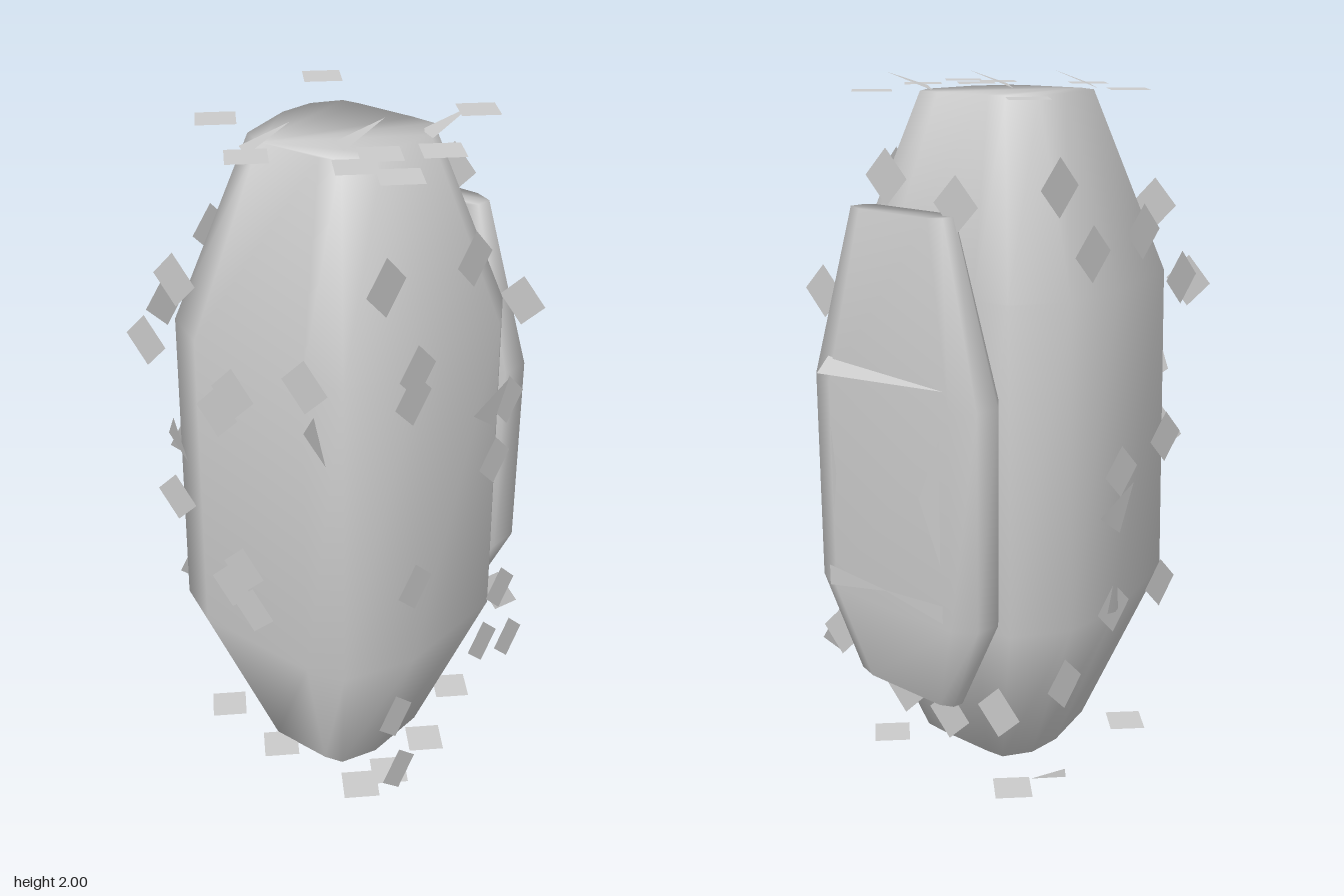
import * as THREE from 'three';

const grey = new THREE.MeshStandardMaterial({ color: 0xcccccc });
const thin = new THREE.MeshStandardMaterial({ color: 0xcccccc, side: THREE.DoubleSide });

// Smooth closed skin over rings of equal length; ring = { y, pts: [[x, z], ...] }
function loft(name, rings) {
  const n = rings[0].pts.length, pos = [], idx = [];
  rings.forEach(r => r.pts.forEach(([x, z]) => pos.push(x, r.y, z)));
  for (let k = 0; k < rings.length - 1; k++) {
    for (let i = 0; i < n; i++) {
      const a = k * n + i, b = k * n + (i + 1) % n;
      idx.push(a, b, b + n, a, b + n, a + n);
    }
  }
  // Flat caps
  const top = (rings.length - 1) * n;
  for (let i = 1; i < n - 1; i++) idx.push(0, i + 1, i, top, top + i, top + i + 1);
  const g = new THREE.BufferGeometry();
  g.setAttribute('position', new THREE.Float32BufferAttribute(pos, 3));
  g.setIndex(idx);
  g.computeVertexNormals();
  const mesh = new THREE.Mesh(g, grey);
  mesh.name = name;
  return mesh;
}

// Scale a section about a centre
const scaled = (pts, cx, cz, sx, sz) => pts.map(([x, z]) => [cx + (x - cx) * sx, cz + (z - cz) * sz]);

function triangle(points) {
  const g = new THREE.BufferGeometry();
  g.setAttribute('position', new THREE.Float32BufferAttribute(points.flat(), 3));
  g.computeVertexNormals();
  return g;
}

const diamond = new THREE.CircleGeometry(0.074, 4);
const shard = triangle([[-0.07, -0.02, -0.01], [0.01, -0.08, 0], [0.01, 0.08, 0.042]]);

// Loose cards floating on one flat side of the body, local +z pointing outwards
function cardSide(name, position, rotation, diamonds, shards) {
  const group = new THREE.Group();
  group.name = name;
  group.position.set(...position);
  group.rotation.set(...rotation);
  const add = (geo, label) => ([u, v]) => {
    const m = new THREE.Mesh(geo, thin);
    m.name = label;
    m.position.set(u, v, 0);
    group.add(m);
  };
  diamonds.forEach(add(diamond, 'diamondCard'));
  shards.forEach(add(shard, 'shardCard'));
  return group;
}

export function createModel() {
  const model = new THREE.Group();
  const H = Math.PI / 2;

  // Body: rounded square section, tapered towards flat ends
  const section = [
    [-0.2, 0.435], [0.17, 0.42], [0.28, 0.39], [0.375, 0.2], [0.385, -0.15], [0.29, -0.3],
    [0.15, -0.31], [-0.2, -0.31], [-0.31, -0.3], [-0.41, -0.16], [-0.425, 0.03], [-0.34, 0.37],
  ];
  model.add(loft('body', [
    { y: 0.04, pts: scaled(section, 0.015, 0.06, 0.5, 0.55) },
    { y: 0.54, pts: section },
    { y: 1.45, pts: scaled(section, 0.1, 0, 0.96, 0.98) },
    { y: 1.95, pts: scaled(section, -0.01, 0.03, 0.5, 0.53) },
  ]));

  // Pack on the back
  const pack = new THREE.Group();
  pack.name = 'backPack';
  const packSection = [
    [-0.27, -0.3], [0.24, -0.3], [0.285, -0.33], [0.29, -0.42], [0.19, -0.465],
    [-0.25, -0.47], [-0.31, -0.43], [-0.32, -0.36],
  ];
  pack.add(loft('packShell', [
    { y: 0.33, pts: scaled(packSection, -0.015, -0.375, 0.6, 0.42) },
    { y: 0.6, pts: packSection },
    { y: 1.2, pts: packSection },
    { y: 1.67, pts: scaled(packSection, -0.015, -0.375, 0.55, 0.53) },
  ]));

  // Thin folds framing the pocket
  const folds = {
    pocketTopFold: [[-0.23, 1.25, -0.465], [0.2, 1.23, -0.498], [0.2, 1.27, -0.455]],
    pocketLowerFoldRight: [[-0.23, 0.67, -0.478], [-0.23, 0.62, -0.478], [0, 0.65, -0.47]],
    pocketLowerFoldLeft: [[0.2, 0.67, -0.478], [0.2, 0.61, -0.478], [-0.02, 0.65, -0.47]],
    pocketRightFold: [[-0.22, 1.12, -0.474], [-0.22, 0.78, -0.474], [-0.15, 0.95, -0.478]],
    pocketLeftFold: [[0.18, 1.08, -0.474], [0.18, 0.82, -0.474], [0.16, 0.95, -0.478]],
  };
  for (const [name, pts] of Object.entries(folds)) {
    const m = new THREE.Mesh(triangle(pts), thin);
    m.name = name;
    pack.add(m);
  }
  model.add(pack);

  // Floating cards on all six sides
  model.add(cardSide('frontCards', [0, 0, 0.447], [0, 0, 0],
    [[-0.225, 1.62], [-0.35, 1.41], [0.205, 1.46], [-0.04, 1.355], [-0.1, 1.28],
      [-0.275, 0.945], [-0.03, 0.805], [-0.08, 0.73], [0, 0.68]],
    [[-0.23, 1.16], [0.26, 1.34]]));
  model.add(cardSide('leftCards', [0.392, 0, 0], [0, H, 0],
    [[-0.37, 1.75], [-0.015, 1.7], [-0.24, 1.48], [-0.255, 1.41], [0.18, 1.22], [0.13, 1.05],
      [-0.225, 0.82], [0.205, 0.565], [-0.3, 0.41], [0.125, 0.41], [0.27, 0.335], [-0.28, 0.195]],
    [[0.1, 1.25]]));
  model.add(cardSide('rightCards', [-0.422, 0, 0], [0, -H, 0],
    [[-0.25, 1.75], [-0.11, 1.57], [0.11, 1.6], [0.3, 1.45], [0.25, 1], [0.04, 0.95],
      [0.02, 0.55], [0.25, 0.55], [-0.2, 0.4]],
    [[0.03, 0.85]]));
  model.add(cardSide('backCards', [0, 0, -0.37], [0, Math.PI, 0],
    [[0.33, 0.35], [0.15, 0.28], [-0.28, 0.4], [-0.02, 0.3], [-0.3, 1.42], [0.19, 1.7], [-0.05, 1.75]],
    []));
  model.add(cardSide('topCards', [0, 1.957, 0], [-H, 0, 0],
    [[-0.33, 0.26], [0.175, 0.29], [0.29, -0.025], [-0.3, -0.195], [0.19, -0.14],
      [0.2, -0.245], [0.32, -0.23], [-0.045, -0.355]],
    [[0.1, -0.1], [0.21, 0.11], [-0.06, -0.27]]));
  model.add(cardSide('bottomCards', [0, 0.042, 0], [H, 0, 0],
    [[-0.3, 0.27], [0.25, 0.28], [0.28, 0], [0.28, 0.18], [-0.28, -0.25], [0.2, -0.25], [-0.05, 0.3]],
    [[-0.3, -0.1]]));
  return model;
}
